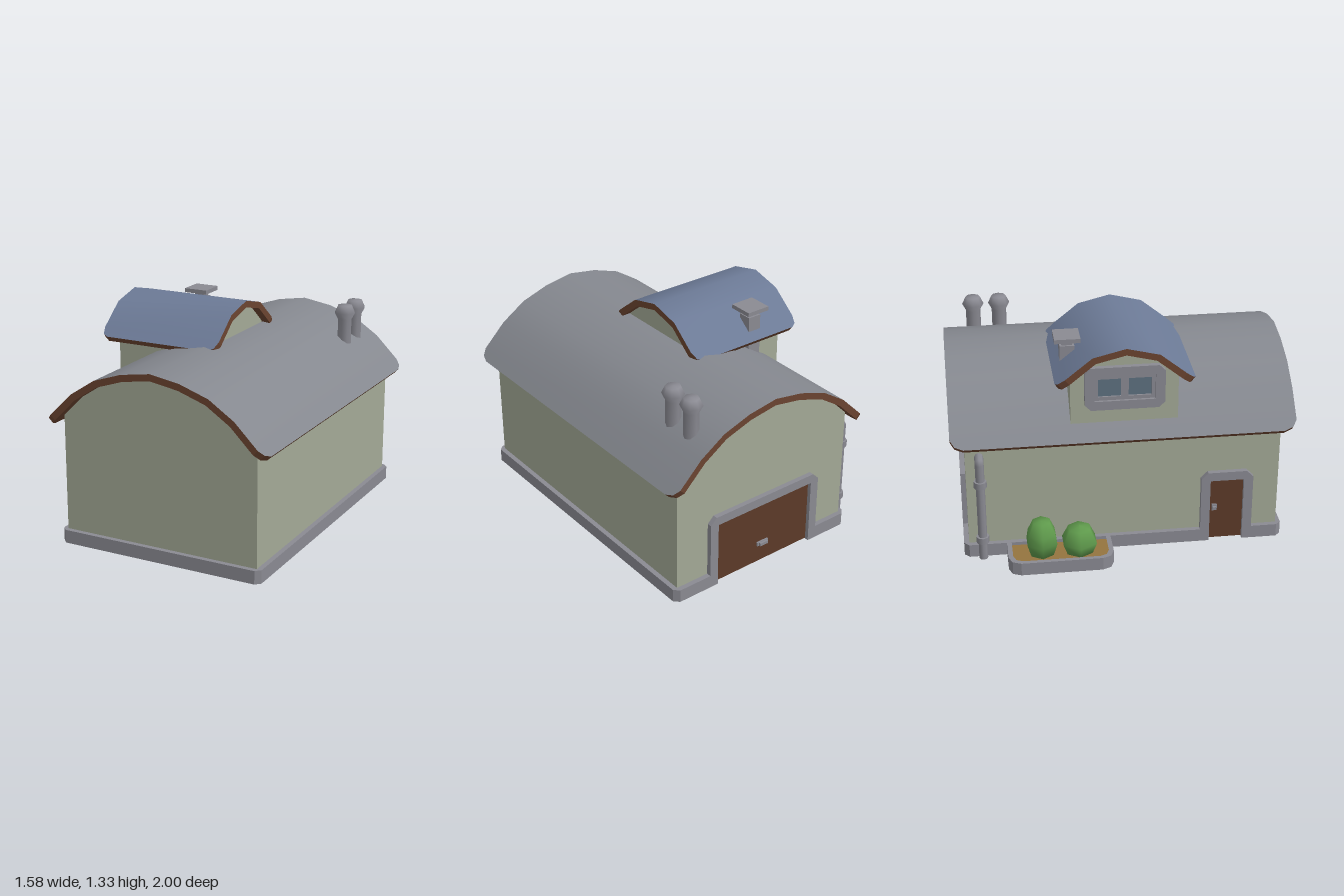
import * as THREE from 'three';

const mat = (color, extra = {}) => new THREE.MeshStandardMaterial({ color, ...extra });
const STONE = mat(0x8a8a92), ROOF = mat(0x85888f, { side: THREE.DoubleSide });
const BLUE = mat(0x6c7a96, { side: THREE.DoubleSide });
const WALL = mat(0xa3a996), WOOD = mat(0x6b4430), DOOR = mat(0x5c3a28);
const GLASS = mat(0x5d7080), SOIL = mat(0x94743f), LEAF = mat(0x5f9a4c);

function add(parent, name, geometry, material, x = 0, y = 0, z = 0) {
  const mesh = new THREE.Mesh(geometry, material);
  mesh.name = name;
  mesh.position.set(x, y, z);
  parent.add(mesh);
  return mesh;
}
const box = (w, h, d) => new THREE.BoxGeometry(w, h, d);
const shapeOf = pts => new THREE.Shape(pts.map(p => new THREE.Vector2(...p)));
const extrude = (shape, depth) => new THREE.ExtrudeGeometry(shape, { depth, bevelEnabled: false });
// Slab drawn in plan: shape points are (x, -z), thickness goes up
const slab = (shape, h) => extrude(shape, h).rotateX(-Math.PI / 2);

// Full mirrored profile from half stations [distance from ridge, height, half length]
const mirrorProfile = half => [
  ...half.slice(1).reverse().map(([d, y, l]) => [-d, y, l]), ...half];

// Shift a profile down along its normals
function offset(pts, t) {
  return pts.map(([d, y, l], i) => {
    const a = pts[Math.max(i - 1, 0)], b = pts[Math.min(i + 1, pts.length - 1)];
    const n = Math.hypot(b[0] - a[0], b[1] - a[1]);
    return [d + (b[1] - a[1]) / n * t, y - (b[0] - a[0]) / n * t, l];
  });
}

function surface(verts, index, smooth) {
  let g = new THREE.BufferGeometry();
  g.setAttribute('position', new THREE.Float32BufferAttribute(verts, 3));
  g.setIndex(index);
  if (!smooth) g = g.toNonIndexed();
  g.computeVertexNormals();
  return g;
}

// Curved roof: smooth metal sheet over a wooden board with clipped eave corners
function curvedRoof(name, half, t, metal) {
  const group = new THREE.Group();
  group.name = name;
  const top = mirrorProfile(half), low = offset(top, t);
  const sheet = [], sheetIdx = [], board = [], boardIdx = [];
  top.forEach(([d, y, l], i) => {
    const [e, v] = low[i];
    sheet.push(d, y, -l, d, y, l);
    board.push(d, y, -l, d, y, l, e, v, l, e, v, -l);
    if (i === top.length - 1) return;
    const s = i * 2, r = i * 4;
    sheetIdx.push(s, s + 1, s + 3, s, s + 3, s + 2);
    for (let k = 1; k < 4; k++) {
      const a = r + k, b = r + (k + 1) % 4;
      boardIdx.push(a, b, b + 4, a, b + 4, a + 4);
    }
  });
  const e = (top.length - 1) * 4;
  boardIdx.push(2, 1, 0, 3, 2, 0, e, e + 1, e + 2, e, e + 2, e + 3);
  add(group, name + 'Sheet', surface(sheet, sheetIdx, true), metal);
  add(group, name + 'Board', surface(board, boardIdx, false), WOOD);
  return group;
}

// Outline with clipped top corners, optionally clipped below too
function clipped(w, y0, y1, c, bottom) {
  const pts = [[w, y1 - c], [w - c, y1], [-w + c, y1], [-w, y1 - c]];
  return bottom ? [...pts, [-w, y0 + c], [-w + c, y0], [w - c, y0], [w, y0 + c]]
    : [[w, y0], ...pts, [-w, y0]];
}

// Surround for a doorway: open at the foot
function doorway(name, w, h, border, knob) {
  const g = new THREE.Group();
  g.name = name;
  const i = w - border;
  const outline = [...clipped(w, 0.07, h, 0.04, false),
    [-i, 0.07], [-i, h - border], [i, h - border], [i, 0.07]];
  add(g, name + 'Frame', extrude(shapeOf(outline), 0.04), STONE, 0, 0, -0.01);
  add(g, name + 'Panel', box(2 * i, h - border - 0.005, 0.02), DOOR, 0, (h - border + 0.005) / 2, -0.004);
  add(g, name + 'HandlePlate', box(knob[2], knob[3], 0.012), STONE, knob[0], knob[1], 0.01);
  add(g, name + 'Handle', box(knob[2] * 0.7, 0.018, 0.02), STONE, knob[0], knob[1], 0.02);
  return g;
}

function createModel() {
  const model = new THREE.Group();
  model.name = 'workshop';
  const CX = 0.085;

  // Stone base, notched at both doorways
  add(model, 'base', slab(shapeOf([
    [-0.53, -0.95], [0.7, -0.95], [0.73, -0.92], [0.73, 0.92], [0.7, 0.95],
    [0.43, 0.95], [0.43, 0.915], [-0.26, 0.915], [-0.26, 0.95], [-0.53, 0.95], [-0.56, 0.92],
    [-0.56, -0.51], [-0.525, -0.51], [-0.525, -0.71], [-0.56, -0.71], [-0.56, -0.92]]), 0.08), STONE);

  // Main roof and the arched walls below it
  const arch = [[0, 1.125, 1], [0.185, 1.095, 1], [0.36, 1.036, 1], [0.515, 0.934, 1],
    [0.655, 0.795, 1], [0.685, 0.765, 0.975], [0.7, 0.75, 0.925]];
  const roof = curvedRoof('mainRoof', arch, 0.04, ROOF);
  roof.position.x = CX;
  model.add(roof);
  const under = offset(mirrorProfile(arch), 0.025).filter(p => Math.abs(p[0]) < 0.6).reverse();
  add(model, 'walls', extrude(shapeOf([[-0.615, 0.01], [0.615, 0.01], [0.615, 0.805],
    ...under.map(p => [p[0], p[1]]), [-0.615, 0.805]]), 1.84), WALL, CX, 0, -0.92);

  // Dormer: its ridge runs along x
  const dormer = [[0, 1.325, 0.385], [0.19, 1.278, 0.385], [0.345, 1.153, 0.385],
    [0.385, 1.122, 0.37], [0.4, 1.11, 0.34]];
  const dRoof = curvedRoof('dormerRoof', dormer, 0.04, BLUE);
  dRoof.rotation.y = Math.PI / 2;
  dRoof.position.x = -0.225;
  model.add(dRoof);
  const dWall = add(model, 'dormerWalls', extrude(shapeOf([[-0.31, 0.8], [0.31, 0.8], [0.31, 1.15],
    [0.185, 1.25], [0, 1.3], [-0.185, 1.25], [-0.31, 1.15]]), 0.64), WALL, 0.11, 0, 0);
  dWall.rotation.y = -Math.PI / 2;

  // Dormer window
  const win = new THREE.Group();
  win.name = 'dormerWindow';
  const frame = shapeOf(clipped(0.23, 0.925, 1.19, 0.035, true));
  frame.holes.push(shapeOf([[-0.175, 0.98], [-0.175, 1.135], [0.175, 1.135], [0.175, 0.98]]));
  add(win, 'windowFrame', extrude(frame, 0.04), STONE, 0, 0, -0.01);
  add(win, 'windowGlass', box(0.36, 0.16, 0.01), GLASS, 0, 1.057, 0);
  for (const s of [-1, 1]) {
    const sash = shapeOf([[-0.0875, -0.078], [0.0875, -0.078], [0.0875, 0.078], [-0.0875, 0.078]]);
    sash.holes.push(shapeOf([[-0.066, -0.055], [-0.066, 0.055], [0.066, 0.055], [0.066, -0.055]]));
    add(win, 'windowSash', extrude(sash, 0.012), STONE, s * 0.0875, 1.057, 0.003);
  }
  win.rotation.y = -Math.PI / 2;
  win.position.x = -0.53;
  model.add(win);

  // Back garage door and side door
  const garage = doorway('garageDoor', 0.4, 0.465, 0.055, [0, 0.13, 0.08, 0.025]);
  garage.rotation.y = Math.PI;
  garage.position.set(CX, 0, -0.92);
  const side = doorway('sideDoor', 0.155, 0.465, 0.055, [-0.07, 0.22, 0.03, 0.04]);
  side.rotation.y = -Math.PI / 2;
  side.position.set(-0.53, 0, 0.61);
  model.add(garage, side);

  // Round chimneys with flared caps
  const cap = [[0.045, 0.88], [0.045, 1.115], [0.066, 1.155], [0.045, 1.2], [0, 1.2]];
  for (const z of [-0.65, -0.81])
    add(model, 'roundChimney', new THREE.LatheGeometry(cap.map(p => new THREE.Vector2(...p)), 8), STONE, 0.52, 0, z);

  // Square vent beside the dormer
  add(model, 'ventStem', box(0.085, 0.31, 0.085), STONE, -0.31, 1.085, -0.307);
  add(model, 'ventNeck', box(0.06, 0.04, 0.06), STONE, -0.31, 1.255, -0.307);
  add(model, 'ventCap', box(0.15, 0.025, 0.15), STONE, -0.31, 1.283, -0.307);

  // Drainpipe with elbow and collars
  const pipe = new THREE.CurvePath();
  const path = [[0, 0], [0, 0.632], [0.014, 0.646], [0.08, 0.646]].map(p => new THREE.Vector3(p[0], p[1], 0));
  for (let i = 0; i < 3; i++) pipe.add(new THREE.LineCurve3(path[i], path[i + 1]));
  add(model, 'drainpipe', new THREE.TubeGeometry(pipe, 40, 0.026, 8), STONE, -0.59, 0.01, -0.84);
  for (const y of [0.14, 0.51])
    add(model, 'pipeCollar', new THREE.CylinderGeometry(0.038, 0.038, 0.04, 8), STONE, -0.59, y, -0.84);

  // Planter with rim, soil and two bushes
  const bed = (x, z0, z1, c) => [[-0.535, -z1], [x + c, -z1], [x + c * 0.3, -z1 + c * 0.3], [x, -z1 + c],
    [x, -z0 - c], [x + c * 0.3, -z0 - c * 0.3], [x + c, -z0], [-0.535, -z0]];
  const rim = shapeOf(bed(-0.79, -0.7, -0.085, 0.07));
  add(model, 'planterFloor', slab(rim.clone(), 0.03), STONE);
  rim.holes.push(shapeOf(bed(-0.765, -0.672, -0.113, 0.055).map(([x, y]) => [Math.min(x, -0.56), y])));
  add(model, 'planterRim', slab(rim, 0.05), STONE, 0, 0.03, 0);
  add(model, 'soil', slab(shapeOf(bed(-0.775, -0.69, -0.095, 0.06)), 0.035), SOIL, 0, 0.025, 0);
  const bushes = [
    [-0.5, [[0, 0.05], [0.075, 0.06], [0.1, 0.14], [0.09, 0.2], [0.055, 0.275], [0, 0.275]]],
    [-0.28, [[0, 0.05], [0.085, 0.06], [0.112, 0.13], [0.07, 0.215], [0, 0.225]]]];
  for (const [z, profile] of bushes) {
    const bush = add(model, 'bush', new THREE.LatheGeometry(profile.map(p => new THREE.Vector2(...p)), 6), LEAF, -0.655, 0, z);
    bush.rotation.y = Math.PI / 6;
  }
  return model;
}

export { createModel };
